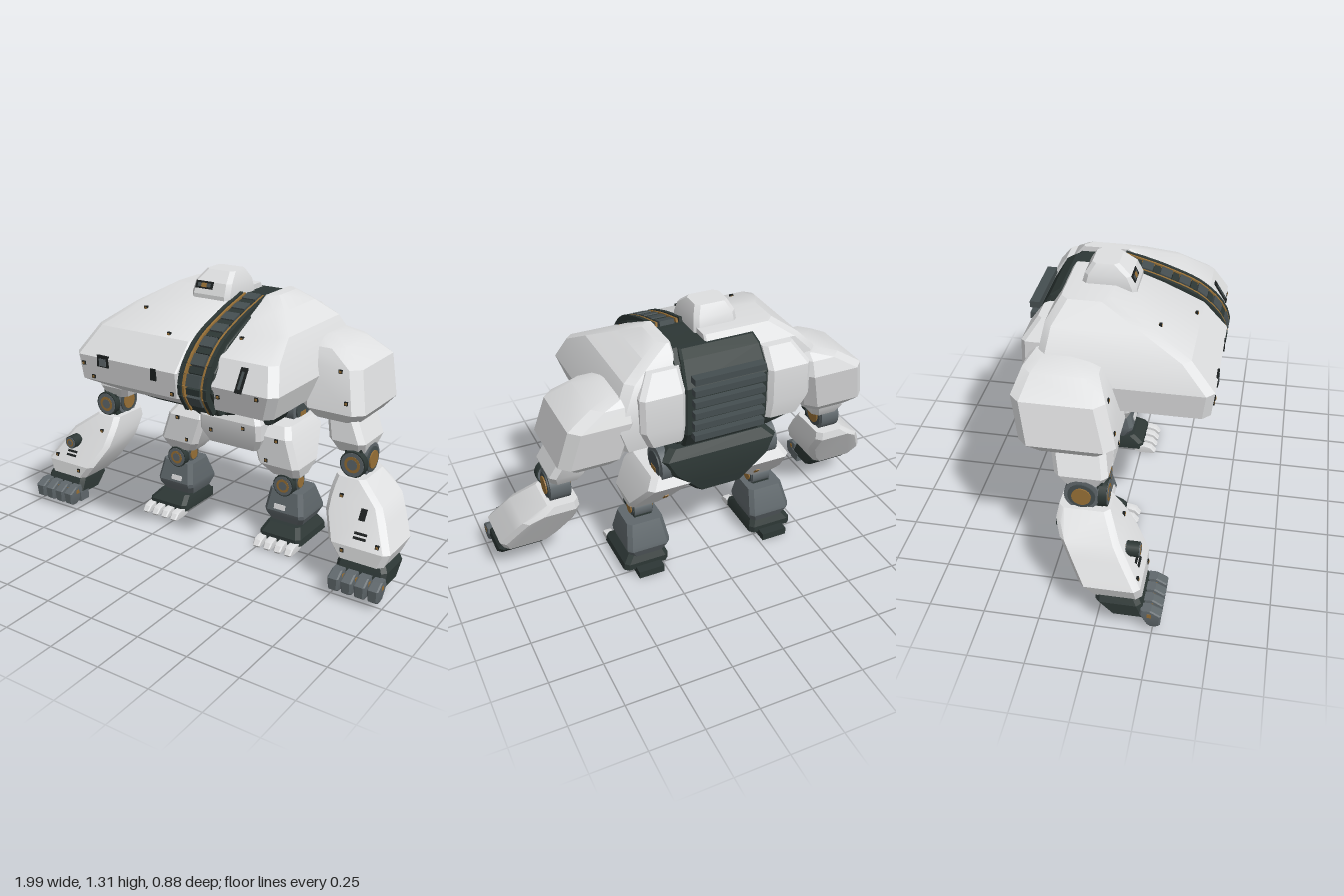
import * as THREE from 'three';
import { ConvexGeometry } from 'three/addons/geometries/ConvexGeometry.js';
import { toCreasedNormals } from 'three/addons/utils/BufferGeometryUtils.js';

const paint = (name, color) => {
  const m = new THREE.MeshStandardMaterial({ color });
  m.name = name;
  return m;
};

export function createModel() {
  const light = paint('light armour', 0xdedfe0);
  const dark = paint('dark green grey', 0x2d3735);
  const steel = paint('dark steel', 0x454e50);
  const slate = paint('slate metal', 0x60686c);
  const gold = paint('bronze', 0x987036);
  const black = paint('black inset', 0x1b1f1f);
  const root = new THREE.Group();

  const add = (parent, name, geo, mat, pos = [0, 0, 0], rot = [0, 0, 0]) => {
    const m = new THREE.Mesh(geo, mat);
    m.name = name;
    m.position.set(...pos);
    m.rotation.set(...rot);
    parent.add(m);
    return m;
  };
  const box = (parent, name, size, mat, pos, rot) =>
    add(parent, name, new THREE.BoxGeometry(...size), mat, pos, rot);
  // Dark bolt with a bronze centre
  const bolt = (parent, x, y, z) => {
    box(parent, 'boltRim', [0.018, 0.018, 0.012], black, [x, y, z]);
    box(parent, 'boltCentre', [0.011, 0.011, 0.016], gold, [x, y, z]);
  };

  // Faceted plate: rings [y, outerX, innerX, backZ, frontZ], corners cut by c (outer) and d (inner)
  const hull = (parent, name, mat, rings, s = 1, c = 0.03, d = c) => {
    const pts = [];
    for (const [y, xo, xi, zb, zf] of rings) {
      const dir = Math.sign(xi - xo);
      for (const [x, k, cut] of [[xo, dir, c], [xi, -dir, d]]) {
        for (const [z, q] of [[zb, 1], [zf, -1]]) {
          pts.push(new THREE.Vector3(s * (x + k * cut), y, z), new THREE.Vector3(s * x, y, z + q * cut));
        }
      }
    }
    return add(parent, name, toCreasedNormals(new ConvexGeometry(pts), 0.4), mat);
  };

  // Round joint of stacked discs [radius factor, length factor, material]; axis 'x' or 'z'
  const ringed = [[1, 0.8, dark], [0.9, 0.9, slate], [0.62, 0.96, gold], [0.4, 1, slate]];
  const hubbed = [[1, 0.8, slate], [0.78, 0.9, steel], [0.55, 1, gold]];
  const plain = [[1, 0.8, slate], [0.7, 0.95, steel]];
  const joint = (parent, name, pos, r, len, axis, discs) => {
    const g = new THREE.Group();
    g.name = name;
    g.position.set(...pos);
    if (axis === 'x') g.rotation.z = Math.PI / 2; else g.rotation.x = Math.PI / 2;
    for (const [k, l, m] of discs) add(g, 'disc', new THREE.CylinderGeometry(r * k, r * k, len * l, 20), m);
    parent.add(g);
  };

  // Torso shells: wide right one, narrow left one
  const torso = new THREE.Group();
  torso.name = 'torso';
  root.add(torso);
  hull(torso, 'rightShell', light, [
    [0.76, -0.42, 0.05, -0.30, 0.30], [0.83, -0.53, 0.05, -0.33, 0.42], [0.95, -0.54, 0.05, -0.34, 0.435],
    [1.07, -0.49, 0.05, -0.33, 0.325], [1.15, -0.41, 0.05, -0.32, 0.15], [1.225, -0.30, 0.05, -0.27, -0.05],
  ], 1, 0.035, 0.008);
  hull(torso, 'leftShell', light, [
    [0.77, 0.44, 0.205, -0.33, 0.30], [0.80, 0.49, 0.205, -0.38, 0.37], [0.915, 0.53, 0.205, -0.40, 0.40],
    [1.03, 0.49, 0.205, -0.39, 0.33], [1.11, 0.445, 0.205, -0.36, 0.18], [1.18, 0.34, 0.205, -0.31, 0.04],
    [1.225, 0.26, 0.205, -0.27, -0.05],
  ], 1, 0.035, 0.008);
  hull(torso, 'spineCore', dark, [
    [0.76, 0.03, 0.22, -0.36, 0.34], [0.88, 0.03, 0.22, -0.39, 0.4], [0.97, 0.03, 0.22, -0.39, 0.38],
    [1.07, 0.03, 0.22, -0.38, 0.28], [1.15, 0.03, 0.22, -0.34, 0.11], [1.2, 0.03, 0.22, -0.28, -0.07],
  ], 1, 0.005);
  hull(torso, 'belly', dark, [
    [0.7, -0.28, 0.18, -0.3, 0.18], [0.755, -0.4, 0.23, -0.33, 0.27], [0.79, -0.41, 0.24, -0.34, 0.33],
  ], 1, 0.03);
  box(torso, 'bellyLug', [0.07, 0.03, 0.06], steel, [0.32, 0.765, 0.12]);
  for (const x of [-0.22, 0.12]) box(torso, 'bellyRail', [0.03, 0.009, 0.24], light, [x, 0.7, 0.03]);
  box(torso, 'bellyCrossbar', [0.31, 0.009, 0.03], light, [-0.05, 0.7, 0.13]);

  // Segmented channel between the shells
  const spine = new THREE.CatmullRomCurve3([[0.78, 0.365], [0.88, 0.418], [0.97, 0.395], [1.07, 0.298], [1.145, 0.13], [1.205, -0.07]]
    .map(([y, z]) => new THREE.Vector3(0, y, z)));
  for (let i = 0; i < 16; i++) {
    const u = (i + 0.5) / 16;
    const p = spine.getPointAt(u), t = spine.getTangentAt(u);
    const rot = [Math.atan2(t.z, t.y), 0, 0];
    if (i % 2) box(torso, 'spineSegment', [0.07, 0.055, 0.032], steel, [0.135, p.y, p.z], rot);
    else box(torso, 'spineLink', [0.07, 0.03, 0.024], dark, [0.135, p.y, p.z], rot);
    for (const x of [0.066, 0.2]) box(torso, 'spineRail', [0.018, 0.048, 0.032], dark, [x, p.y, p.z], rot);
    for (const x of [0.086, 0.184]) box(torso, 'spineStrip', [0.01, 0.048, 0.028], gold, [x, p.y, p.z], rot);
  }

  // Ribbed back
  hull(torso, 'backPanel', dark, [
    [0.74, -0.19, 0.19, -0.36, -0.1], [0.83, -0.2, 0.2, -0.41, -0.1], [1.06, -0.2, 0.2, -0.41, -0.1],
    [1.17, -0.19, 0.19, -0.345, -0.1], [1.2, -0.18, 0.18, -0.3, -0.1],
  ], 1, 0.01);
  for (let i = 0; i < 6; i++) {
    box(torso, 'backRib', [0.34, 0.03, 0.045], steel, [0, 0.825 + i * 0.056, -0.42]);
  }
  for (const s of [-1, 1]) {
    hull(torso, 'backPlate', light, [
      [0.81, 0.37, 0.2, -0.41, -0.25], [0.9, 0.41, 0.2, -0.43, -0.25],
      [1.06, 0.41, 0.2, -0.425, -0.25], [1.15, 0.35, 0.2, -0.36, -0.25],
    ], s, 0.02);
  }

  // Shell insets and bolts
  box(torso, 'frontWindow', [0.065, 0.055, 0.009], black, [-0.365, 0.935, 0.432]);
  box(torso, 'frontWindowPane', [0.04, 0.035, 0.009], slate, [-0.365, 0.93, 0.434]);
  box(torso, 'frontSlot', [0.03, 0.055, 0.009], black, [-0.075, 0.925, 0.432]);
  box(torso, 'sideSlot', [0.035, 0.115, 0.009], black, [0.35, 0.96, 0.373], [-0.545, 0, 0]);
  box(torso, 'sideSlotBar', [0.012, 0.08, 0.009], steel, [0.35, 0.96, 0.376], [-0.545, 0, 0]);
  for (const [x, y, z] of [[-0.48, 0.91, 0.43], [-0.43, 0.85, 0.422], [0.02, 0.85, 0.422], [-0.08, 1.08, 0.303],
    [-0.31, 1.14, 0.172], [0.24, 0.87, 0.388], [0.44, 0.9, 0.396], [0.25, 1.09, 0.215]]) bolt(torso, x, y, z);

  // Head
  const head = new THREE.Group();
  head.name = 'head';
  root.add(head);
  hull(head, 'headShell', light, [
    [1.17, -0.15, 0.06, -0.21, 0.04], [1.21, -0.15, 0.06, -0.21, 0.04],
    [1.265, -0.145, 0.055, -0.195, 0.015], [1.312, -0.12, 0.035, -0.165, -0.045],
  ], 1, 0.02);
  box(head, 'eyeSlot', [0.095, 0.036, 0.006], black, [-0.08, 1.25, 0.022], [-0.427, 0, 0]);
  box(head, 'eyeBar', [0.07, 0.018, 0.006], steel, [-0.08, 1.25, 0.024], [-0.427, 0, 0]);
  box(head, 'eyeLens', [0.028, 0.02, 0.006], gold, [-0.08, 1.25, 0.026], [-0.427, 0, 0]);

  // Waist and pelvis
  const pelvis = new THREE.Group();
  pelvis.name = 'pelvis';
  root.add(pelvis);
  add(pelvis, 'waist', new THREE.CylinderGeometry(0.14, 0.14, 0.14, 20), dark, [0.04, 0.7, -0.17]);
  hull(pelvis, 'pelvisBlock', dark, [
    [0.475, -0.12, 0.12, -0.365, -0.24], [0.54, -0.14, 0.14, -0.375, -0.06], [0.6, -0.25, 0.25, -0.38, -0.04],
    [0.675, -0.29, 0.29, -0.37, -0.04], [0.72, -0.24, 0.24, -0.34, -0.1],
  ], 1, 0.025);
  hull(pelvis, 'pelvisPlate', light, [
    [0.455, -0.1, 0.19, -0.17, -0.02], [0.52, -0.13, 0.22, -0.18, 0.01],
    [0.6, -0.13, 0.22, -0.18, 0.015], [0.655, -0.1, 0.19, -0.17, -0.01],
  ], 1, 0.02);
  for (const [x, y] of [[-0.055, 0.53], [0.13, 0.575]]) bolt(pelvis, x, y, 0.011);

  for (const s of [-1, 1]) {
    const side = s > 0 ? 'left' : 'right';
    const arm = new THREE.Group(), leg = new THREE.Group();
    arm.name = side + 'Arm';
    leg.name = side + 'Leg';
    root.add(arm, leg);

    // Arm armour
    hull(arm, 'shoulder', light, [
      [0.72, 0.72, 0.48, -0.32, 0.01], [0.77, 0.76, 0.45, -0.37, 0.05], [0.96, 0.715, 0.4, -0.405, 0.0],
      [1.03, 0.6, 0.4, -0.38, -0.05], [1.06, 0.5, 0.4, -0.345, -0.14],
    ], s, 0.045);
    for (const [x, y, z] of [[0.68, 0.82, 0.035], [0.63, 0.95, 0.001]]) bolt(arm, s * x, y, z);
    hull(arm, 'upperArm', light, [
      [0.74, 0.71, 0.56, -0.24, 0.0], [0.63, 0.765, 0.585, -0.215, 0.02], [0.575, 0.75, 0.61, -0.18, -0.01],
    ], s, 0.025);
    box(arm, 'elbowBlock', [0.08, 0.16, 0.13], dark, [s * 0.705, 0.52, -0.07]);
    joint(arm, 'elbowFront', [s * 0.715, 0.53, -0.002], 0.063, 0.045, 'z', ringed);
    joint(arm, 'elbowSide', [s * 0.71, 0.53, -0.095], 0.078, 0.12, 'x', hubbed);
    hull(arm, 'forearm', light, [
      [0.47, 0.78, 0.635, -0.195, 0.03], [0.43, 0.83, 0.63, -0.2, 0.058], [0.385, 0.895, 0.63, -0.17, 0.09],
      [0.33, 0.93, 0.635, -0.135, 0.125], [0.225, 0.99, 0.69, -0.07, 0.195], [0.16, 0.965, 0.74, -0.03, 0.2],
    ], s, 0.025);
    if (s < 0) joint(arm, 'forearmSensor', [-0.84, 0.335, 0.145], 0.034, 0.07, 'z', ringed);
    else box(arm, 'forearmSlot', [0.03, 0.055, 0.009], black, [0.825, 0.35, 0.111], [-0.59, 0, 0]);
    for (let i = 0; i < 2; i++) {
      box(arm, 'forearmVent', [0.06, 0.012, 0.009], black, [s * 0.84, 0.262 + i * 0.018, 0.17 - i * 0.012], [-0.59, 0, 0]);
    }
    for (const [x, y, z] of [[0.7, 0.4, 0.078], [0.93, 0.25, 0.178], [0.77, 0.2, 0.196]]) bolt(arm, s * x, y, z);

    // Hand with four fingers and a thumb
    hull(arm, 'hand', dark, [
      [0.165, 0.97, 0.75, 0.0, 0.185], [0.14, 0.985, 0.745, 0.0, 0.2], [0.08, 0.985, 0.745, 0.06, 0.225],
    ], s, 0.02);
    for (let i = 0; i < 4; i++) {
      const x = 0.967 - i * 0.064;
      hull(arm, 'finger', slate, [
        [0.125, x + 0.025, x - 0.025, 0.2, 0.245], [0.1, x + 0.027, x - 0.027, 0.195, 0.29],
        [0.045, x + 0.024, x - 0.024, 0.225, 0.285], [0.034, x + 0.02, x - 0.02, 0.235, 0.27],
      ], s, 0.007);
      box(arm, 'knuckle', [0.056, 0.02, 0.02], gold, [s * x, 0.1, 0.238]);
    }
    box(arm, 'thumb', [0.055, 0.05, 0.06], slate, [s * 0.77, 0.065, 0.19]);

    // Leg armour
    joint(leg, 'hip', [s * 0.255, 0.625, -0.275], 0.088, 0.09, 'x', plain);
    box(leg, 'hipClasp', [0.009, 0.025, 0.05], gold, [s * 0.296, 0.6, -0.272]);
    hull(leg, 'thigh', light, [
      [0.59, 0.33, 0.16, -0.345, -0.08], [0.54, 0.36, 0.135, -0.375, -0.035],
      [0.4, 0.405, 0.18, -0.255, -0.03], [0.34, 0.39, 0.23, -0.2, -0.07],
    ], s, 0.025);
    for (const [x, y] of [[0.29, 0.53], [0.235, 0.42]]) bolt(leg, s * x, y, -0.034);
    box(leg, 'thighClasp', [0.02, 0.04, 0.009], gold, [s * 0.24, 0.42, -0.272], [-0.71, 0, 0]);
    box(leg, 'kneeBlock', [0.09, 0.12, 0.1], dark, [s * 0.32, 0.3, -0.13]);
    joint(leg, 'kneeFront', [s * 0.318, 0.295, -0.075], 0.055, 0.045, 'z', ringed);
    joint(leg, 'kneeSide', [s * 0.318, 0.3, -0.135], 0.052, 0.115, 'x', hubbed);
    hull(leg, 'shin', slate, [
      [0.265, 0.415, 0.235, -0.23, -0.065], [0.16, 0.435, 0.22, -0.277, -0.04],
      [0.14, 0.435, 0.22, -0.28, -0.045], [0.09, 0.41, 0.24, -0.255, -0.075],
    ], s, 0.02);
    box(leg, 'shinPlate', [0.06, 0.025, 0.009], light, [s * 0.31, 0.185, -0.044], [-0.24, 0, 0]);

    // Foot with heel and four toes
    hull(leg, 'foot', dark, [
      [0.098, 0.42, 0.24, -0.25, -0.04], [0.06, 0.45, 0.225, -0.27, 0.01], [0.028, 0.455, 0.225, -0.27, 0.012],
    ], s, 0.02);
    box(leg, 'heel', [0.13, 0.037, 0.08], dark, [s * 0.335, 0.0215, -0.276]);
    for (let i = 0; i < 4; i++) {
      const x = 0.425 - i * 0.058;
      hull(leg, 'toe', light, [
        [0.043, x + 0.02, x - 0.02, -0.01, 0.03], [0.035, x + 0.021, x - 0.021, -0.02, 0.06],
        [0.012, x + 0.019, x - 0.019, -0.035, 0.08], [0.003, x + 0.018, x - 0.018, -0.01, 0.075],
      ], s, 0.006);
    }
  }
  return root;
}
